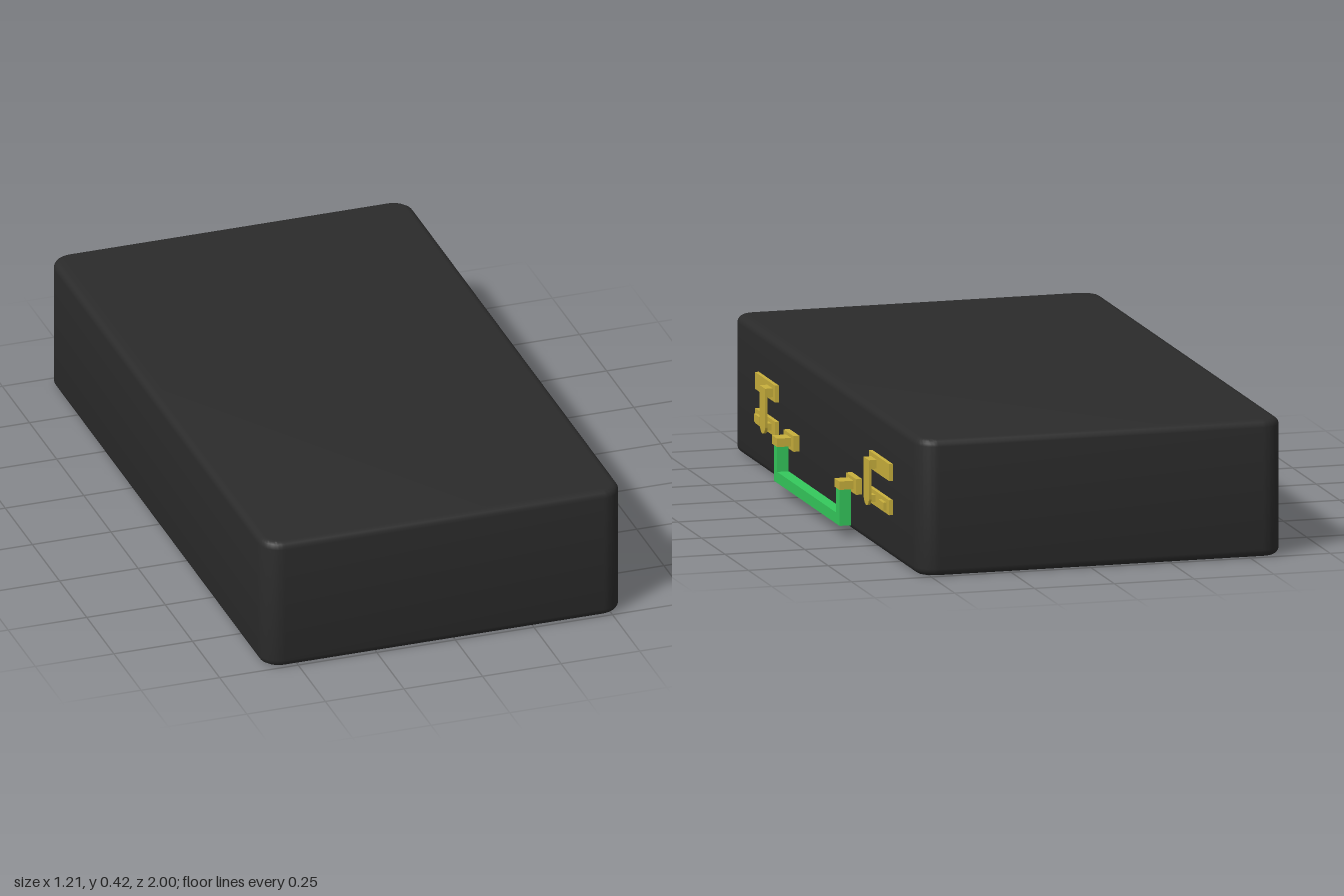
import * as THREE from 'three';
import { toCreasedNormals } from 'three/addons/utils/BufferGeometryUtils.js';

const caseMat = new THREE.MeshStandardMaterial({ color: 0x2b2b2b });
const brassMat = new THREE.MeshStandardMaterial({ color: 0xc9b03c });
const gripMat = new THREE.MeshStandardMaterial({ color: 0x34c95c });

const FACE = 0.537; // x of the side wall that carries the hardware

function add(parent, name, geometry, material) {
  const mesh = new THREE.Mesh(geometry, material);
  mesh.name = name;
  parent.add(mesh);
  return mesh;
}

// Box given by its extents on each axis
function box(parent, name, material, [x0, x1], [y0, y1], [z0, z1]) {
  const g = new THREE.BoxGeometry(x1 - x0, y1 - y0, z1 - z0);
  g.translate((x0 + x1) / 2, (y0 + y1) / 2, (z0 + z1) / 2);
  return add(parent, name, g, material);
}

// Rounded slab: large plan corners, small rounding along top and bottom
function caseGeometry() {
  const x0 = -0.605, x1 = FACE, z = 1, r = 0.065, bevel = 0.022, height = 0.42;
  const s = new THREE.Shape();
  s.moveTo(x0 + r, -z);
  s.lineTo(x1 - r, -z);
  s.absarc(x1 - r, -z + r, r, -Math.PI / 2, 0);
  s.absarc(x1 - r, z - r, r, 0, Math.PI / 2);
  s.absarc(x0 + r, z - r, r, Math.PI / 2, Math.PI);
  s.absarc(x0 + r, -z + r, r, Math.PI, Math.PI * 1.5);
  const g = new THREE.ExtrudeGeometry(s, {
    depth: height - 2 * bevel, curveSegments: 8, bevelEnabled: true,
    bevelSize: bevel, bevelThickness: bevel, bevelOffset: -bevel, bevelSegments: 4,
  });
  g.rotateX(-Math.PI / 2).translate(0, bevel, 0);
  return toCreasedNormals(g, 0.7);
}

// Thin lever with a rounded lower end, facing +x
function leverGeometry(z, halfWidth, bottom, top, x, thickness) {
  const s = new THREE.Shape();
  s.moveTo(halfWidth, top);
  s.lineTo(-halfWidth, top);
  s.lineTo(-halfWidth, bottom + halfWidth);
  s.absarc(0, bottom + halfWidth, halfWidth, Math.PI, Math.PI * 2);
  const g = new THREE.ExtrudeGeometry(s, { depth: thickness, bevelEnabled: false, curveSegments: 10 });
  g.rotateY(Math.PI / 2).translate(x, 0, z);
  return toCreasedNormals(g, 0.7);
}

export function createModel() {
  const model = new THREE.Group();
  model.name = 'briefcase';
  add(model, 'caseBody', caseGeometry(), caseMat);

  const handle = new THREE.Group();
  handle.name = 'handle';
  model.add(handle);
  box(handle, 'handleGrip', gripMat, [0.561, 0.597], [0.034, 0.068], [-0.351, 0.351]);

  for (const side of [1, -1]) {
    const span = (a, b) => (side > 0 ? [a, b] : [-b, -a]);

    // Handle arm and its mount
    box(handle, 'handleArm', gripMat, [0.561, 0.597], [0.068, 0.15], span(0.314, 0.351));
    box(handle, 'mountPlate', brassMat, [FACE - 0.01, 0.556], [0.134, 0.182], span(0.28, 0.387));
    box(handle, 'mountKnuckle', brassMat, [0.556, 0.6], [0.146, 0.172], span(0.305, 0.359));

    // Latch: two plates, a hinge, a lever and a small button
    const latch = new THREE.Group();
    latch.name = side > 0 ? 'frontLatch' : 'rearLatch';
    model.add(latch);
    box(latch, 'upperPlate', brassMat, [FACE - 0.01, 0.549], [0.241, 0.293], span(0.5, 0.715));
    box(latch, 'lowerPlate', brassMat, [FACE - 0.01, 0.549], [0.136, 0.182], span(0.5, 0.715));
    box(latch, 'latchButton', brassMat, [0.549, 0.559], [0.146, 0.17], span(0.636, 0.69));
    box(latch, 'latchHinge', brassMat, [0.549, 0.566], [0.253, 0.28], span(0.525, 0.583));
    add(latch, 'latchLever', leverGeometry(side * 0.554, 0.029, 0.137, 0.28, 0.565, 0.008), brassMat);
    box(latch, 'latchCatch', brassMat, [0.549, 0.565], [0.148, 0.17], span(0.538, 0.57));
  }
  return model;
}
